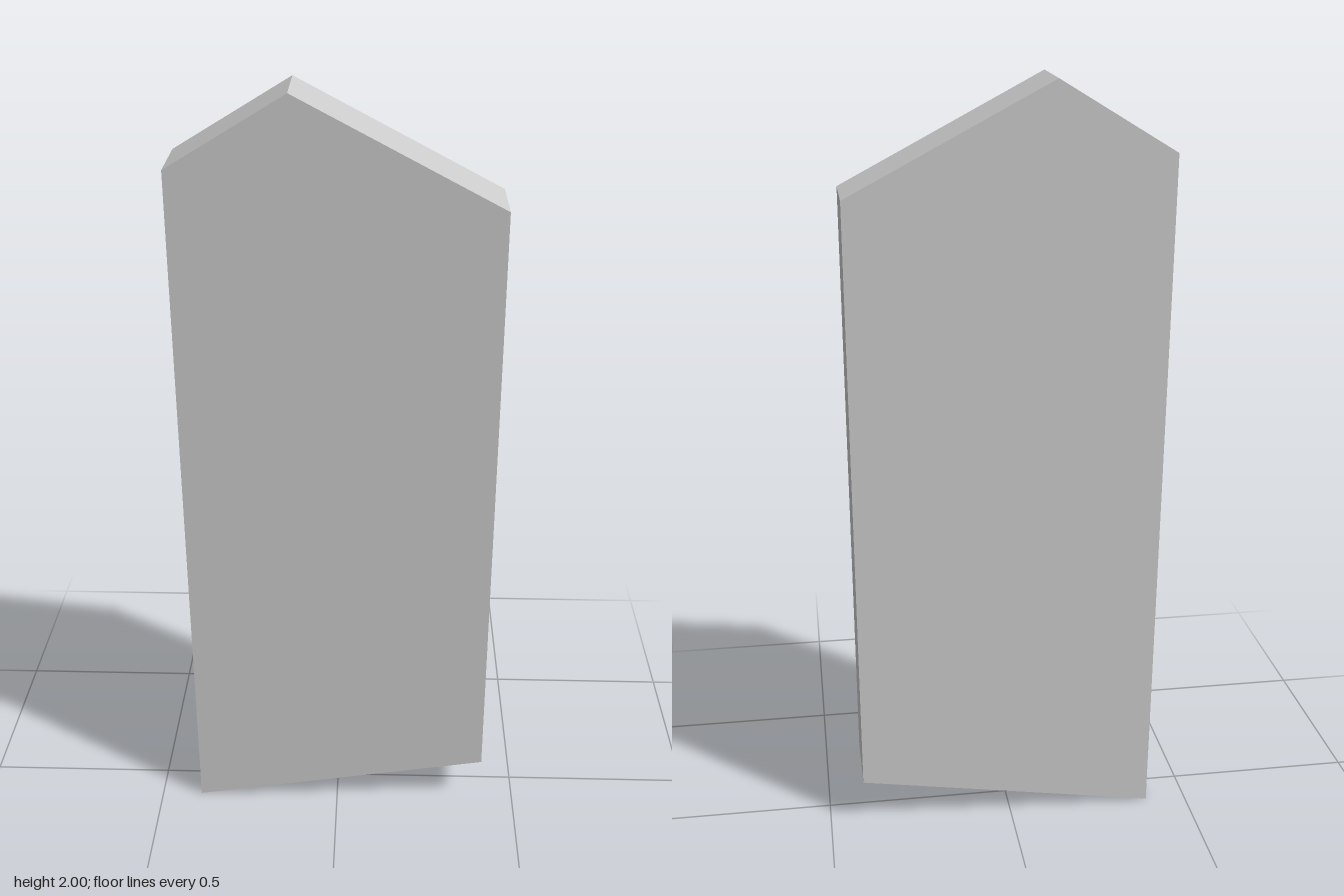
import * as THREE from 'three';

const DEPTH = 0.2;

// Outline of the slab, counter-clockwise from the lower left corner
const OUTLINE = [
  [-0.39, 0],
  [0.408, 0.13],
  [0.408, 1.727],
  [-0.113, 2],
  [-0.41, 1.82],
];

export function createModel() {
  const group = new THREE.Group();
  group.name = 'pointedSlab';

  // Flat slab with a slanted foot and an off-centre peak
  const shape = new THREE.Shape(OUTLINE.map(([x, y]) => new THREE.Vector2(x, y)));
  const geometry = new THREE.ExtrudeGeometry(shape, { depth: DEPTH, bevelEnabled: false });
  geometry.translate(0, 0, -DEPTH / 2);

  const material = new THREE.MeshStandardMaterial({ color: 0xcccccc, flatShading: true });
  const slab = new THREE.Mesh(geometry, material);
  slab.name = 'slab';
  group.add(slab);

  return group;
}
